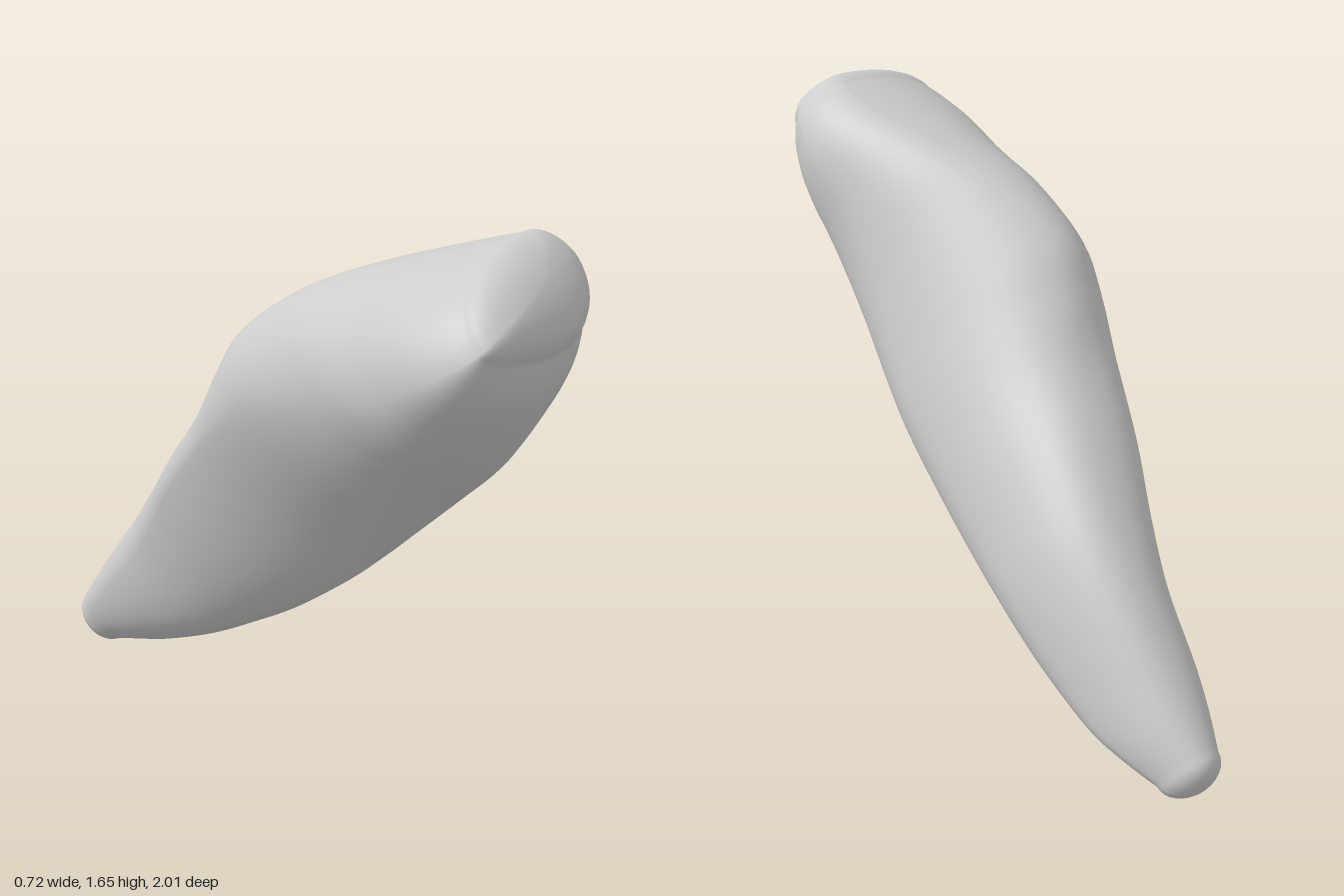
import * as THREE from 'three';

// Cross-sections along the tooth's slanted long axis, from root tip to biting edge.
// s = distance along the axis, then (x, t) of the left, right, bottom and top extremes,
// where t is measured across the axis in the vertical plane.
const SECTIONS = [
  [-0.66, 0.09, 0.64, 0.27, 0.61, 0.18, 0.535, 0.18, 0.733],
  [-0.55, 0.055, 0.65, 0.305, 0.58, 0.18, 0.487, 0.18, 0.757],
  [-0.42, 0.03, 0.67, 0.33, 0.55, 0.18, 0.43, 0.18, 0.785],
  [-0.20, 0.00, 0.69, 0.35, 0.55, 0.16, 0.362, 0.18, 0.832],
  [0.00, -0.05, 0.73, 0.355, 0.55, 0.14, 0.32, 0.16, 0.868],
  [0.22, -0.12, 0.77, 0.34, 0.52, 0.12, 0.282, 0.11, 0.898],
  [0.47, -0.19, 0.79, 0.325, 0.50, 0.10, 0.262, 0.03, 0.926],
  [0.66, -0.24, 0.80, 0.315, 0.50, 0.09, 0.262, -0.04, 0.977],
  [0.82, -0.27, 0.78, 0.30, 0.52, 0.07, 0.266, -0.07, 1.014],
  [1.05, -0.295, 0.68, 0.28, 0.58, 0.04, 0.272, -0.03, 0.998],
  [1.25, -0.33, 0.57, 0.28, 0.64, 0.00, 0.28, 0.06, 0.94],
  [1.44, -0.36, 0.52, 0.30, 0.66, -0.05, 0.325, 0.13, 0.865],
  [1.56, -0.345, 0.50, 0.285, 0.67, -0.06, 0.375, 0.15, 0.815],
  [1.63, -0.31, 0.50, 0.255, 0.67, -0.06, 0.44, 0.13, 0.785],
];

// Smooth value between neighbouring sections
function blend(a, b, c, d, f) {
  return 0.5 * (2 * b + (c - a) * f + (2 * a - 5 * b + 4 * c - d) * f * f
    + (3 * b - a - 3 * c + d) * f * f * f);
}

// A point on the outline: four curved quarters joined at the extremes,
// with the upper right and lower left flanks slightly flattened
function outlinePoint(row, angle) {
  const [s, xl, tl, xr, tr, xb, tb, xt, tt] = row;
  const c = Math.cos(angle), n = Math.sin(angle);
  let power = 1;
  if (c > 0 && n > 0) power += 0.15 * THREE.MathUtils.smoothstep(s, 0.2, 0.9);
  if (c < 0 && n < 0) power += 0.3 * Math.exp(-(((s - 0.6) / 0.4) ** 2));
  const u = Math.abs(c) ** power, v = Math.abs(n) ** power;
  const [xSide, tSide] = c >= 0 ? [xr, tr] : [xl, tl];
  const [xEnd, tEnd] = n >= 0 ? [xt, tt] : [xb, tb];
  const x = xEnd + (xSide - xEnd) * u;
  const t = tSide + (tEnd - tSide) * v;
  return [x, 0.625 * s + 0.78 * t, 0.78 * s - 0.625 * t];
}

// Rounded end: sections shrinking to a point over the given height
function dome(row, height, steps = 8) {
  const x = (row[1] + row[3]) / 2, t = (row[6] + row[8]) / 2;
  return Array.from({ length: steps }, (_, i) => {
    const a = (i + 1) / steps * Math.PI / 2;
    return row.map((value, j) => {
      if (j === 0) return value + height * Math.sin(a);
      const centre = j % 2 ? x : t;
      return centre + (value - centre) * Math.cos(a);
    });
  });
}

function toothGeometry(sides = 56, steps = 5) {
  const last = SECTIONS.length - 1;
  const at = i => SECTIONS[Math.min(Math.max(i, 0), last)];
  const rows = dome(at(0), -0.072).reverse();
  for (let i = 0; i < last; i++) {
    for (let k = 0; k < steps; k++) {
      rows.push(at(i).map((b, j) => blend(at(i - 1)[j], b, at(i + 1)[j], at(i + 2)[j], k / steps)));
    }
  }
  rows.push(at(last), ...dome(at(last), 0.092));

  const positions = [], index = [];
  rows.forEach((row, i) => {
    for (let j = 0; j < sides; j++) {
      positions.push(...outlinePoint(row, j / sides * Math.PI * 2));
      if (i === rows.length - 1) continue;
      const a = i * sides + j, b = i * sides + (j + 1) % sides;
      index.push(a, b, b + sides, a, b + sides, a + sides);
    }
  });
  const geometry = new THREE.BufferGeometry();
  geometry.setAttribute('position', new THREE.Float32BufferAttribute(positions, 3));
  geometry.setIndex(index);
  geometry.computeVertexNormals();
  return geometry;
}

export function createModel() {
  const group = new THREE.Group();
  group.name = 'incisorTooth';
  const enamel = new THREE.MeshStandardMaterial({ color: 0xcccccc });
  enamel.name = 'light grey';

  // Root and crown in one continuous surface
  const tooth = new THREE.Mesh(toothGeometry(), enamel);
  tooth.name = 'tooth';
  group.add(tooth);
  return group;
}
